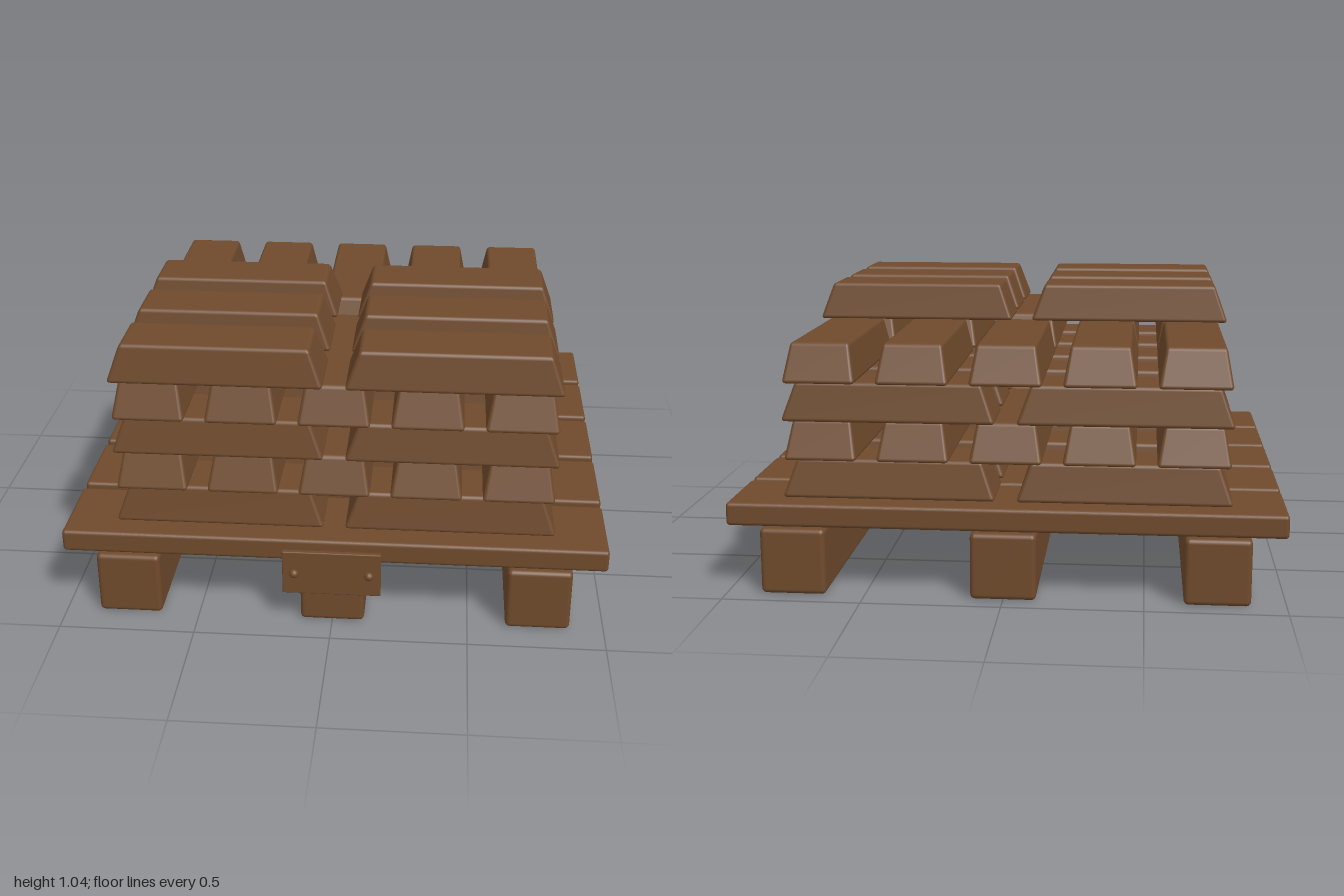
import * as THREE from 'three';
import { RoundedBoxGeometry } from 'three/addons/geometries/RoundedBoxGeometry.js';

// Rounded box narrowing towards the top; normals follow the taper
function taperedBar(length, height, width, inset, radius) {
  const geo = new RoundedBoxGeometry(length, height, width, 3, radius);
  const p = geo.attributes.position, n = geo.attributes.normal;
  const kx = 2 * inset.x / length, kz = 2 * inset.z / width;
  const normal = new THREE.Vector3();
  for (let i = 0; i < p.count; i++) {
    const x = p.getX(i), z = p.getZ(i), t = p.getY(i) / height + 0.5;
    const sx = 1 - kx * t, sz = 1 - kz * t;
    const nx = n.getX(i) / sx, nz = n.getZ(i) / sz;
    normal.set(nx, n.getY(i) + (x * kx * nx + z * kz * nz) / height, nz).normalize();
    p.setXYZ(i, x * sx, p.getY(i), z * sz);
    n.setXYZ(i, normal.x, normal.y, normal.z);
  }
  return geo;
}

export function createModel() {
  const model = new THREE.Group();
  model.name = 'palletOfBars';
  const brown = new THREE.MeshStandardMaterial({ color: 0x6f4a2c });
  brown.name = 'brown';

  const add = (parent, name, geo, x, y, z) => {
    const mesh = new THREE.Mesh(geo, brown);
    mesh.name = name;
    mesh.position.set(x, y, z);
    parent.add(mesh);
    return mesh;
  };
  const group = (name) => {
    const g = new THREE.Group();
    g.name = name;
    model.add(g);
    return g;
  };

  // Pallet: three runners carrying five deck boards
  const pallet = group('pallet');
  const runner = new RoundedBoxGeometry(0.236, 0.243, 1.815, 3, 0.018);
  for (const x of [-0.757, 0, 0.757]) add(pallet, 'runner', runner, x, 0.1215, -0.022);
  const board = new RoundedBoxGeometry(2, 0.085, 0.33, 3, 0.014);
  for (let i = -2; i <= 2; i++) add(pallet, 'deckBoard', board, 0, 0.2885, -0.022 + i * 0.364);

  // Front plate with two round-headed rivets
  const plate = group('frontPlate');
  add(plate, 'plate', new RoundedBoxGeometry(0.36, 0.175, 0.02, 2, 0.004), 0, 0.217, 0.9);
  const rivet = new THREE.SphereGeometry(0.017, 16, 10);
  for (const x of [-0.137, 0.137]) add(plate, 'rivet', rivet, x, 0.215, 0.911);

  // Stack of bars, each layer turned a quarter against the one below
  const bar = taperedBar(0.776, 0.143, 0.264, { x: 0.052, z: 0.026 }, 0.014);
  const centreZ = -0.022;
  for (let layer = 0; layer < 5; layer++) {
    const stack = group('barLayer' + (layer + 1));
    const y = 0.331 + 0.0705 + layer * 0.1408;
    const across = layer % 2 === 0;
    for (let row = -2; row <= 2; row++) {
      if (layer === 4 && row < 0) continue; // top layer only covers the front
      for (const side of [-1, 1]) {
        const along = side * 0.425, offset = row * 0.335;
        const mesh = across
          ? add(stack, 'bar', bar, along, y, centreZ + offset)
          : add(stack, 'bar', bar, offset, y, centreZ + along);
        if (!across) mesh.rotation.y = Math.PI / 2;
      }
    }
  }
  return model;
}
